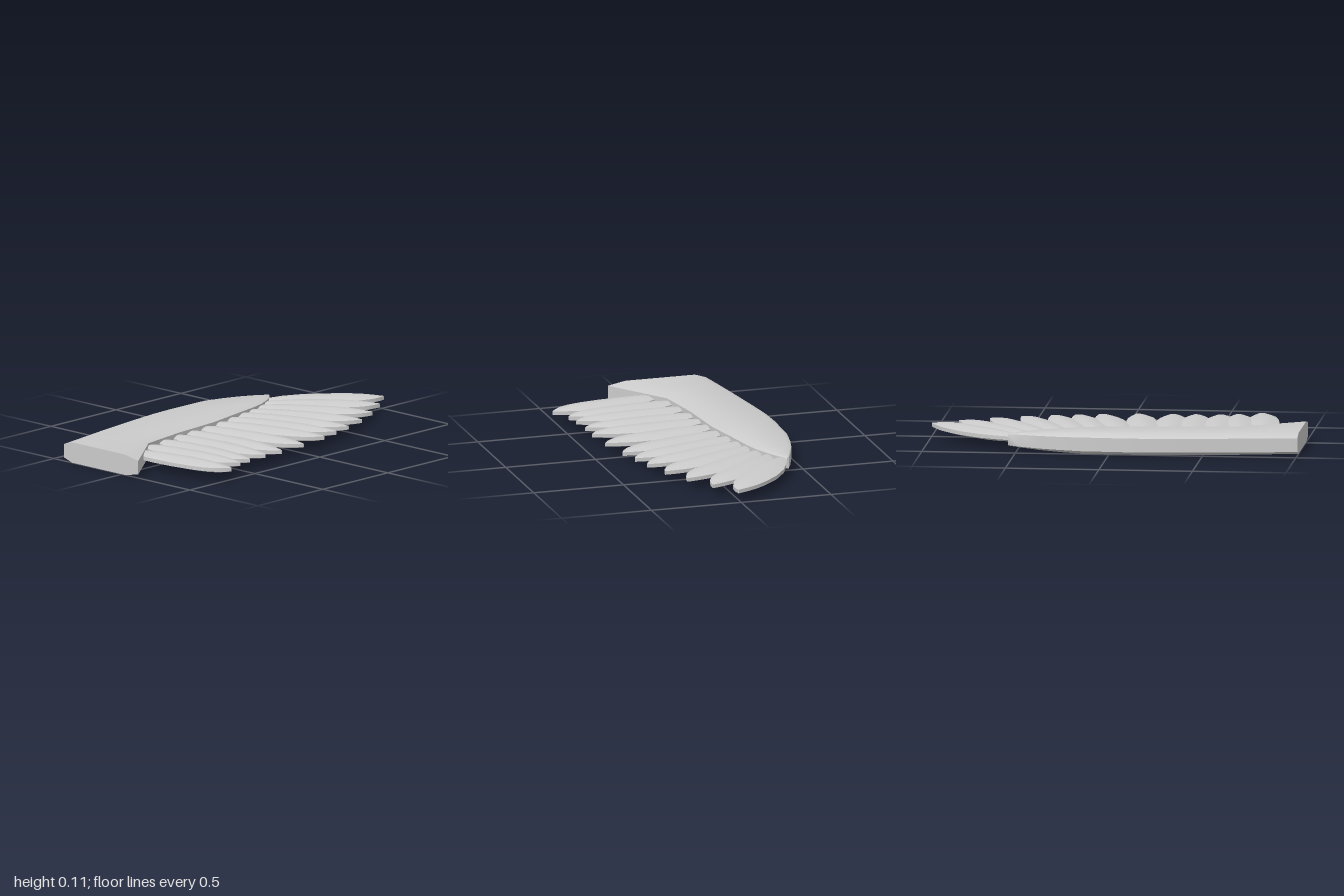
import * as THREE from 'three';
import { toCreasedNormals } from 'three/addons/utils/BufferGeometryUtils.js';

// Bevelled slab cross-section between two edge points [x, z]:
// thin side walls of half height edge, flat middle of half height top.
function ring([ax, az], [bx, bz], edge, top, f1, f2, mid) {
  const pts = [[0, edge], [f1, top], [f2, top], [1, edge], [1, -edge], [f2, -top], [f1, -top], [0, -edge]];
  return pts.map(([f, h]) => [ax + (bx - ax) * f, mid + h, az + (bz - az) * f]);
}

// Skin a row of rings and close both ends
function loft(rings) {
  const n = rings[0].length, last = (rings.length - 1) * n, index = [];
  for (let i = 0; i < rings.length - 1; i++) {
    for (let j = 0; j < n; j++) {
      const a = i * n + j, b = i * n + (j + 1) % n;
      index.push(a, b, b + n, a, b + n, a + n);
    }
  }
  for (let j = 1; j < n - 1; j++) {
    index.push(0, j + 1, j, last, last + j, last + j + 1);
  }
  const geo = new THREE.BufferGeometry();
  geo.setAttribute('position', new THREE.Float32BufferAttribute(rings.flat(2), 3));
  geo.setIndex(index);
  return toCreasedNormals(geo, 0.65);
}

export function createModel() {
  const group = new THREE.Group();
  group.name = 'wing';
  const grey = new THREE.MeshStandardMaterial({ color: 0xcccccc });
  grey.name = 'light grey';

  const add = (name, geo) => {
    const mesh = new THREE.Mesh(geo, grey);
    mesh.name = name;
    group.add(mesh);
  };

  // Wing arm: x, leading z, trailing z, wall half height, middle half height
  const arm = [
    [-1, -0.425, 0.12, 0.037, 0.056],
    [-0.86, -0.447, 0.02, 0.037, 0.056],
    [-0.68, -0.472, -0.11, 0.037, 0.056],
    [-0.4, -0.508, -0.155, 0.037, 0.056],
    [-0.25, -0.525, -0.167, 0.037, 0.056],
    [-0.1, -0.53, -0.18, 0.037, 0.056],
    [0.15, -0.52, -0.23, 0.037, 0.056],
    [0.27, -0.5, -0.255, 0.035, 0.05],
    [0.37, -0.475, -0.283, 0.034, 0.045],
    [0.48, -0.435, -0.337, 0.032, 0.038],
    [0.55, -0.405, -0.395, 0.029, 0.031],
  ];
  add('wingArm', loft(arm.map(([x, lead, trail, edge, top]) =>
    ring([x, lead], [x, trail], edge, top, 0.11, 0.82, 0.056))));

  // Feather profile: position along, outer half width, inner half width, thickness
  const profile = [
    [0, 0.025, 0.025, 0.6],
    [0.15, 0.058, 0.058, 0.9],
    [0.3, 0.08, 0.077, 1],
    [0.5, 0.087, 0.088, 1],
    [0.68, 0.073, 0.087, 1],
    [0.8, 0.056, 0.078, 0.9],
    [0.9, 0.032, 0.055, 0.7],
    [0.96, 0.014, 0.028, 0.5],
    [1, 0.001, 0.001, 0.36],
  ];

  // Feathers: root x, root z, tip x, tip z
  const feathers = [
    [-0.8, -0.11, -0.7, 0.52],
    [-0.67, -0.15, -0.58, 0.47],
    [-0.54, -0.18, -0.49, 0.455],
    [-0.41, -0.2, -0.36, 0.445],
    [-0.295, -0.21, -0.235, 0.445],
    [-0.18, -0.23, -0.05, 0.43],
    [-0.065, -0.24, 0.145, 0.395],
    [0.05, -0.265, 0.27, 0.365],
    [0.155, -0.285, 0.395, 0.335],
    [0.245, -0.3, 0.55, 0.285],
    [0.335, -0.325, 0.71, 0.21],
    [0.42, -0.35, 0.865, 0.115],
    [0.5, -0.38, 1, 0.015],
  ];
  feathers.forEach(([rx, rz, tx, tz], i) => {
    const dx = tx - rx, dz = tz - rz, len = Math.hypot(dx, dz);
    const sx = dz / len, sz = -dx / len;
    const widen = i === feathers.length - 1 ? 1.08 : 1;
    const rings = profile.map(([t, outer, inner, k]) => {
      const x = rx + dx * t, z = rz + dz * t, o = outer * widen;
      return ring([x + sx * o, z + sz * o], [x - sx * inner, z - sz * inner],
        0.01, 0.028 * k, 0.36, 0.64, 0.061);
    });
    add('feather' + (i + 1), loft(rings));
  });

  return group;
}
